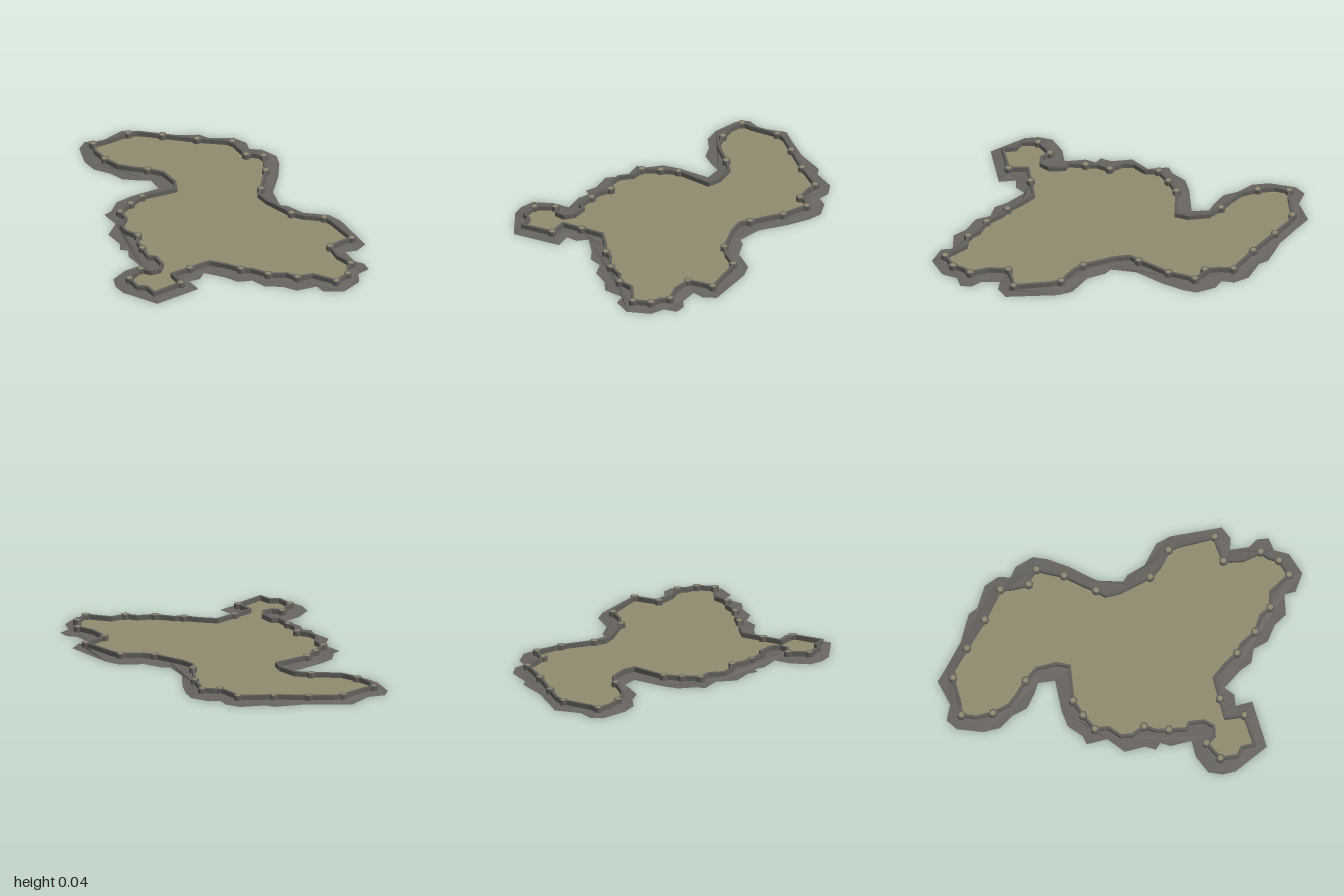
import * as THREE from 'three';

// Plan outlines as x, z pairs in hundredths of a unit
const WALL = [
  -6, -92, 0, -91, 15, -91, 20, -89, 29, -80, 42, -67, 49, -61, 56, -55, 55, -48, 55, -40,
  58, -39, 62, -34, 59, -29, 55, -21, 47, -12, 43, -7, 39, -3, 39, 5, 41, 13, 43, 22,
  47, 28, 55, 35, 56, 40, 56, 60, 51, 60, 42, 61, 40, 71, 42, 81, 38, 84, 35, 89,
  26, 92, 22, 85, 19, 80, 11, 78, 8, 72, 0, 67, -5, 58, -9, 55, -13, 48, -19, 40,
  -31, 40, -42, 40, -43, 50, -60, 51, -60, 44, -64, 41, -63, 32, -53, 27, -50, 32, -45, 33,
  -41, 29, -40, 21, -43, 19, -41, 10, -40, 4, -36, -2, -39, -9, -38, -15, -32, -20, -31, -27,
  -22, -31, -13, -34, 6, -31, 9, -37, 9, -48, 4, -55, -2, -61, -7, -67, -9, -76, -9, -85,
];
const BANK = [
  -6, -100, 2, -96, 16, -99, 22, -93, 34, -82, 48, -74, 50, -69, 61, -62, 64, -54, 62, -48,
  67, -44, 70, -34, 67, -27, 60, -17, 49, -5, 45, 8, 48, 11, 51, 21, 61, 30, 63, 38,
  61, 65, 54, 68, 48, 66, 47, 76, 50, 81, 49, 87, 42, 88, 38, 95, 26, 99, 17, 93,
  17, 87, 6, 85, 2, 78, -6, 72, -8, 64, -15, 61, -18, 54, -25, 44, -30, 48, -36, 47,
  -36, 56, -62, 57, -71, 38, -71, 31, -68, 24, -58, 20, -49, 20, -49, 9, -46, 4, -49, 1,
  -46, -4, -46, -15, -37, -22, -37, -33, -32, -34, -25, -40, -16, -41, 1, -40, 2, -49, -3, -52,
  -10, -58, -12, -66, -17, -74, -17, -83, -12, -96,
];
// Wall corners that carry a small round tower
const TOWERS = [0, 2, 4, 5, 7, 9, 11, 13, 15, 19, 21, 23, 25, 27, 29, 30, 33, 35, 37, 40, 42,
  46, 47, 53, 55, 59, 60, 61, 65, 68];

const BASE = 0.01, TOP = 0.035, THICK = 0.014;

function toPoints(list) {
  const points = [];
  for (let i = 0; i < list.length; i += 2) points.push(new THREE.Vector2(list[i] / 100, list[i + 1] / 100));
  return points;
}

export function createModel() {
  const group = new THREE.Group();
  const earth = new THREE.MeshStandardMaterial({ color: 0x918b6e, side: THREE.DoubleSide });
  earth.name = 'olive earth';
  const rock = new THREE.MeshStandardMaterial({ color: 0x686561, side: THREE.DoubleSide, flatShading: true });
  rock.name = 'grey rock';
  const stone = new THREE.MeshStandardMaterial({ color: 0x625f5b, flatShading: true });
  stone.name = 'wall stone';

  function add(name, geometry, material, parent = group) {
    const mesh = new THREE.Mesh(geometry, material);
    mesh.name = name;
    parent.add(mesh);
    return mesh;
  }

  const wall = toPoints(WALL), bank = toPoints(BANK);

  // Flat ground inside the wall
  const ground = new THREE.ShapeGeometry(new THREE.Shape(wall));
  ground.rotateX(Math.PI / 2);
  add('ground', ground, earth).position.y = BASE;

  // Sloping rocky bank: outer edge on the floor, inner edge raised to the wall foot
  const ring = new THREE.Shape(bank);
  ring.holes.push(new THREE.Path(wall));
  const slope = new THREE.ShapeGeometry(ring);
  slope.rotateX(Math.PI / 2);
  const pos = slope.attributes.position;
  const onWall = new Set(wall.map((p) => `${p.x.toFixed(2)},${p.y.toFixed(2)}`));
  for (let i = 0; i < pos.count; i++) {
    const inner = onWall.has(`${pos.getX(i).toFixed(2)},${pos.getZ(i).toFixed(2)}`);
    pos.setY(i, inner ? BASE : 0);
  }
  slope.computeVertexNormals();
  add('bank', slope, rock);

  // Straight wall runs between neighbouring corners
  const walls = new THREE.Group();
  walls.name = 'curtainWall';
  group.add(walls);
  wall.forEach((a, i) => {
    const b = wall[(i + 1) % wall.length];
    const run = add('wallRun', new THREE.BoxGeometry(a.distanceTo(b) + THICK * 0.5, TOP - BASE, THICK), stone, walls);
    run.position.set((a.x + b.x) / 2, (BASE + TOP) / 2, (a.y + b.y) / 2);
    run.rotation.y = -Math.atan2(b.y - a.y, b.x - a.x);
  });

  // Hollow round towers with an earth floor
  const profile = [[0.013, BASE], [0.022, BASE], [0.022, TOP], [0.013, TOP], [0.013, BASE]]
    .map(([r, y]) => new THREE.Vector2(r, y));
  const towerShape = new THREE.LatheGeometry(profile, 10);
  const floorShape = new THREE.CircleGeometry(0.014, 10).rotateX(-Math.PI / 2);
  const towers = new THREE.Group();
  towers.name = 'towers';
  group.add(towers);
  for (const i of TOWERS) {
    const { x, y: z } = wall[i];
    add('tower', towerShape, stone, towers).position.set(x, 0, z);
    add('towerFloor', floorShape, earth, towers).position.set(x, TOP + 0.0005, z);
  }
  return group;
}
